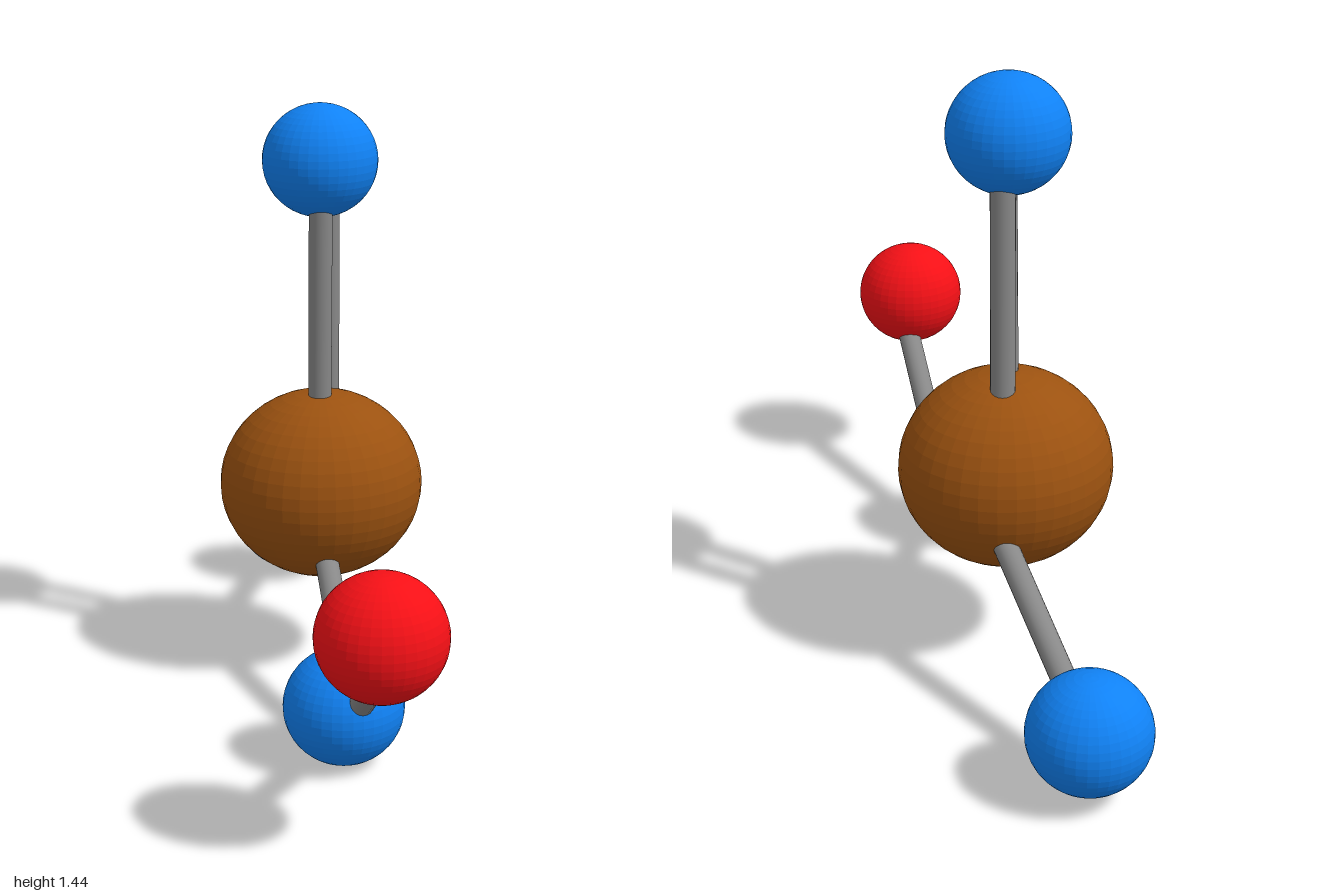
import * as THREE from 'three';

const mat = (color) => new THREE.MeshStandardMaterial({ color, flatShading: true });

export function createModel() {
  const model = new THREE.Group();
  const brown = mat(0x9c5210);
  const blue = mat(0x1082f5);
  const red = mat(0xf51016);
  const grey = new THREE.MeshStandardMaterial({ color: 0x888888 });

  // Slightly squashed faceted ball
  const ball = (name, material, centre, radii) => {
    const mesh = new THREE.Mesh(new THREE.SphereGeometry(1, 36, 24), material);
    mesh.name = name;
    mesh.position.set(...centre);
    mesh.scale.set(...radii);
    model.add(mesh);
  };

  // Straight rod between two points
  const up = new THREE.Vector3(0, 1, 0);
  const rod = (name, from, to) => {
    const a = new THREE.Vector3(...from);
    const d = new THREE.Vector3(...to).sub(a);
    const mesh = new THREE.Mesh(new THREE.CylinderGeometry(0.029, 0.029, d.length(), 20), grey);
    mesh.name = name;
    mesh.position.copy(a).addScaledVector(d, 0.5);
    mesh.quaternion.setFromUnitVectors(up, d.normalize());
    model.add(mesh);
  };

  // Balls
  const small = [0.141, 0.138, 0.138];
  ball('centreBall', brown, [0, 0.488, -0.21], [0.254, 0.238, 0.243]);
  ball('topBall', blue, [0, 1.304, -0.217], small);
  ball('frontLowerBall', blue, [-0.036, 0.14, 0.378], small);
  ball('backBall', blue, [0.003, 0.163, -0.862], small);
  ball('frontEndBall', red, [-0.036, 0.508, 0.862], small);

  // Double rod up to the top ball
  rod('doubleRodFront', [-0.006, 0.6, -0.193], [-0.006, 1.26, -0.166]);
  rod('doubleRodBack', [0.027, 0.6, -0.277], [0.027, 1.26, -0.268]);

  // Single rods
  rod('frontRod', [-0.011, 0.39, -0.14], [-0.011, 0.125, 0.337]);
  rod('endRod', [-0.013, 0.142, 0.42], [-0.013, 0.445, 0.836]);
  rod('backRod', [0.076, 0.452, -0.3], [-0.014, 0.118, -0.8]);

  return model;
}
